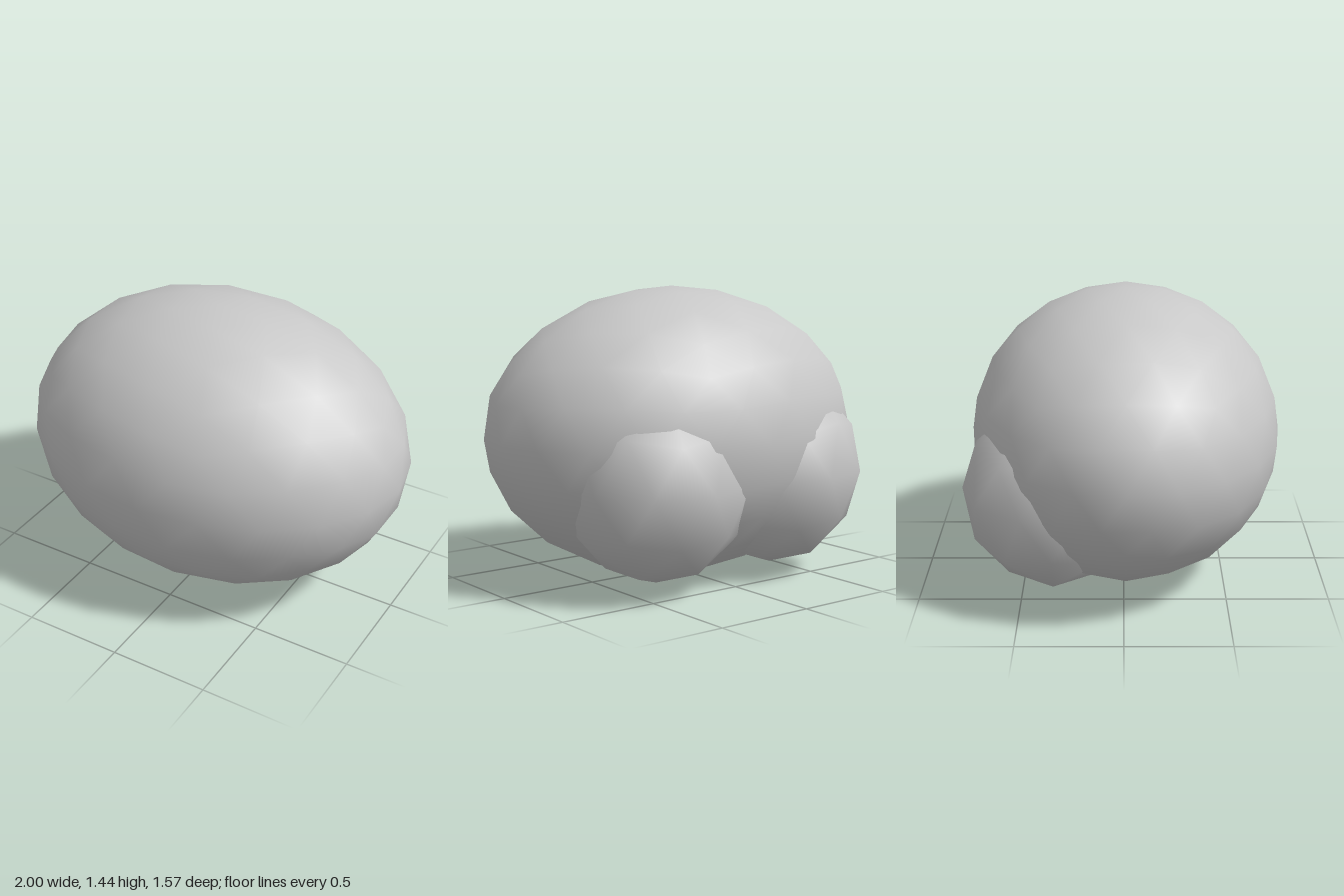
import * as THREE from 'three';

// Unit icosphere with its poles on the y axis and an upper-ring corner on +x.
function icosphere(detail) {
  const r = 2 / Math.sqrt(5), h = 1 / Math.sqrt(5);
  const points = [0, 1, 0];
  for (let i = 0; i < 5; i++) {
    const a = (i * 2 * Math.PI) / 5;
    points.push(r * Math.cos(a), h, r * Math.sin(a));
  }
  for (let i = 0; i < 5; i++) {
    const a = ((i + 0.5) * 2 * Math.PI) / 5;
    points.push(r * Math.cos(a), -h, r * Math.sin(a));
  }
  points.push(0, -1, 0);

  const faces = [];
  for (let i = 0; i < 5; i++) {
    const j = (i + 1) % 5;
    const u = 1 + i, un = 1 + j, l = 6 + i, ln = 6 + j;
    faces.push(0, un, u); // top cap
    faces.push(u, un, l, un, ln, l); // middle band
    faces.push(11, l, ln); // bottom cap
  }
  return new THREE.PolyhedronGeometry(points, faces, 1, detail);
}

export function createModel() {
  const model = new THREE.Group();
  model.name = 'roundBody';
  const grey = new THREE.MeshStandardMaterial({ color: 0xc8c8c8 });
  grey.name = 'light grey';

  const addEllipsoid = (name, detail, radii, centre) => {
    const mesh = new THREE.Mesh(icosphere(detail), grey);
    mesh.name = name;
    mesh.scale.set(...radii);
    mesh.position.set(...centre);
    model.add(mesh);
  };

  // Wide main body
  addEllipsoid('body', 3, [1, 0.721, 0.771], [0, 0.721, 0.01]);

  // Coarser pair of lobes low on the back
  for (const [name, side] of [['leftLobe', 1], ['rightLobe', -1]]) {
    addEllipsoid(name, 1, [0.475, 0.485, 0.447], [side * 0.36, 0.53, -0.338]);
  }
  return model;
}
